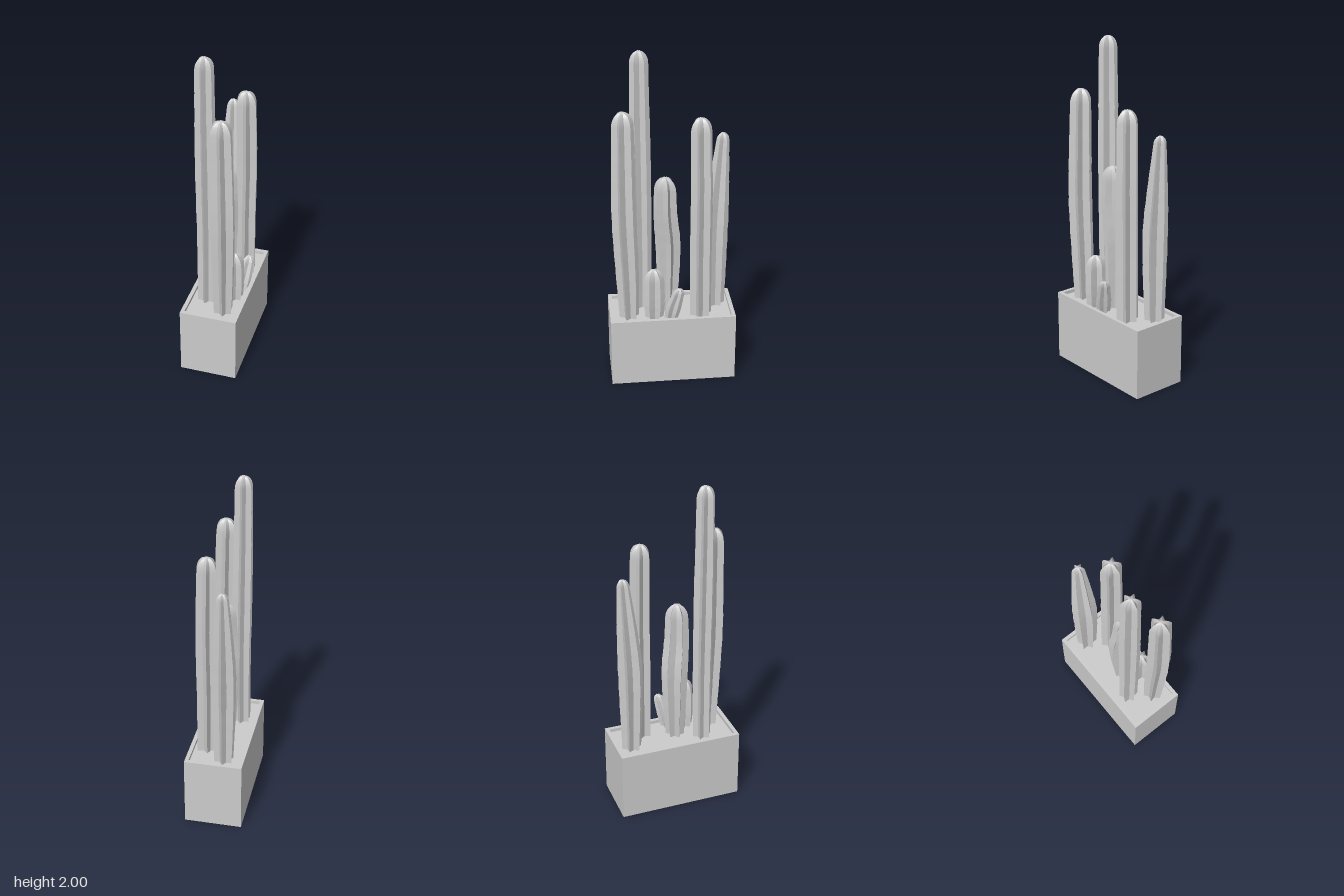
import * as THREE from 'three';
import { toCreasedNormals } from 'three/addons/utils/BufferGeometryUtils.js';

const POT = { w: 0.34, d: 0.74, h: 0.425, wall: 0.023, soil: 0.405 };
const RIBS = 6;

const material = () => new THREE.MeshStandardMaterial({ color: 0xcccccc, roughness: 0.9 });

// Each stem: star rotation in degrees, and stations [x, y, z, rib radius] from the soil to the start of the dome.
const STEMS = [
  { name: 'tallestCactus', turn: 30, path: [[-0.065, 0.39, 0.168, 0.056], [-0.062, 0.8, 0.166, 0.058], [-0.064, 1.3, 0.168, 0.061], [-0.066, 1.65, 0.17, 0.057], [-0.066, 1.925, 0.17, 0.053]] },
  { name: 'frontCactus', turn: 20, path: [[0.06, 0.39, 0.254, 0.058], [0.062, 0.7, 0.262, 0.069], [0.064, 1.05, 0.274, 0.073], [0.06, 1.35, 0.274, 0.069], [0.055, 1.605, 0.273, 0.064]] },
  { name: 'backRightCactus', turn: 18, path: [[0.075, 0.39, -0.17, 0.066], [0.075, 0.8, -0.168, 0.067], [0.078, 1.2, -0.168, 0.066], [0.073, 1.565, -0.163, 0.062]] },
  { name: 'backCactus', turn: 30, path: [[-0.046, 0.39, -0.27, 0.058], [-0.046, 0.65, -0.268, 0.068], [-0.046, 0.95, -0.27, 0.073], [-0.046, 1.2, -0.284, 0.059], [-0.045, 1.46, -0.3, 0.037]] },
  { name: 'middleCactus', turn: -8, path: [[0.005, 0.39, 0.022, 0.054], [0, 0.6, 0.018, 0.067], [0, 0.85, 0.018, 0.077], [0.008, 1.05, 0.033, 0.072], [0.01, 1.185, 0.034, 0.066]] },
  { name: 'smallCactus', turn: 30, path: [[0.085, 0.39, 0.107, 0.053], [0.085, 0.5, 0.106, 0.061], [0.085, 0.645, 0.106, 0.058]] },
  { name: 'leaningCactus', turn: 40, path: [[0.105, 0.39, 0.012, 0.037], [0.115, 0.47, -0.002, 0.045], [0.131, 0.57, -0.027, 0.036]] },
];

// Star-shaped cross-sections lofted along a gently bending path and closed by a dome.
function stemGeometry({ turn, path }, seed) {
  const axis = new THREE.CatmullRomCurve3(path.map(([x, y, z]) => new THREE.Vector3(x, y, z)));
  const girth = new THREE.CatmullRomCurve3(path.map((p, i) => new THREE.Vector3(p[3], i, 0)));
  const rings = [];
  const bodySteps = 6 * (path.length - 1);
  for (let i = 0; i <= bodySteps; i++) {
    const t = i / bodySteps;
    const wobble = 1 + 0.018 * Math.sin(i * 2.3 + seed * 1.7) * Math.sin(Math.PI * t);
    rings.push({ c: axis.getPoint(t), r: girth.getPoint(t).x * wobble });
  }
  const end = rings[bodySteps];
  const lean = axis.getTangent(1);
  const domeSteps = 9;
  for (let i = 1; i <= domeSteps; i++) {
    const a = (i / domeSteps) * Math.PI / 2;
    rings.push({
      c: end.c.clone().addScaledVector(lean, 1.35 * end.r * Math.sin(a)),
      r: i === domeSteps ? 0 : end.r * Math.cos(a),
    });
  }

  const sides = RIBS * 2;
  const positions = [];
  const index = [];
  rings.forEach(({ c, r }, k) => {
    for (let j = 0; j < sides; j++) {
      const a = THREE.MathUtils.degToRad(turn) + (j / sides) * Math.PI * 2;
      const reach = j % 2 ? r * 0.6 : r;
      positions.push(c.x + reach * Math.cos(a), c.y, c.z + reach * Math.sin(a));
      if (k === rings.length - 1) continue;
      const p = k * sides + j;
      const q = k * sides + (j + 1) % sides;
      index.push(p, p + sides, q);
      if (k < rings.length - 2) index.push(q, p + sides, q + sides);
    }
  });
  const geometry = new THREE.BufferGeometry();
  geometry.setAttribute('position', new THREE.Float32BufferAttribute(positions, 3));
  geometry.setIndex(index);
  return toCreasedNormals(geometry, 0.7);
}

function rectangle(PathType, w, d) {
  return new PathType([[-1, -1], [1, -1], [1, 1], [-1, 1]].map(([x, y]) => new THREE.Vector2(x * w / 2, y * d / 2)));
}

function createPlanter() {
  const planter = new THREE.Group();
  planter.name = 'planter';
  const innerW = POT.w - 2 * POT.wall;
  const innerD = POT.d - 2 * POT.wall;

  // Open rectangular walls
  const outline = rectangle(THREE.Shape, POT.w, POT.d);
  outline.holes.push(rectangle(THREE.Path, innerW, innerD));
  const wallGeometry = new THREE.ExtrudeGeometry(outline, { depth: POT.h, bevelEnabled: false });
  wallGeometry.rotateX(-Math.PI / 2);
  const walls = new THREE.Mesh(wallGeometry, material());
  walls.name = 'planterWalls';

  // Soil block sits just below the rim and closes the base
  const soil = new THREE.Mesh(new THREE.BoxGeometry(innerW, POT.soil, innerD), material());
  soil.position.y = POT.soil / 2;
  soil.name = 'soil';

  planter.add(walls, soil);
  return planter;
}

export function createModel() {
  const model = new THREE.Group();
  model.name = 'cactusPlanter';
  model.add(createPlanter());
  STEMS.forEach((stem, i) => {
    const mesh = new THREE.Mesh(stemGeometry(stem, i), material());
    mesh.name = stem.name;
    model.add(mesh);
  });
  return model;
}
